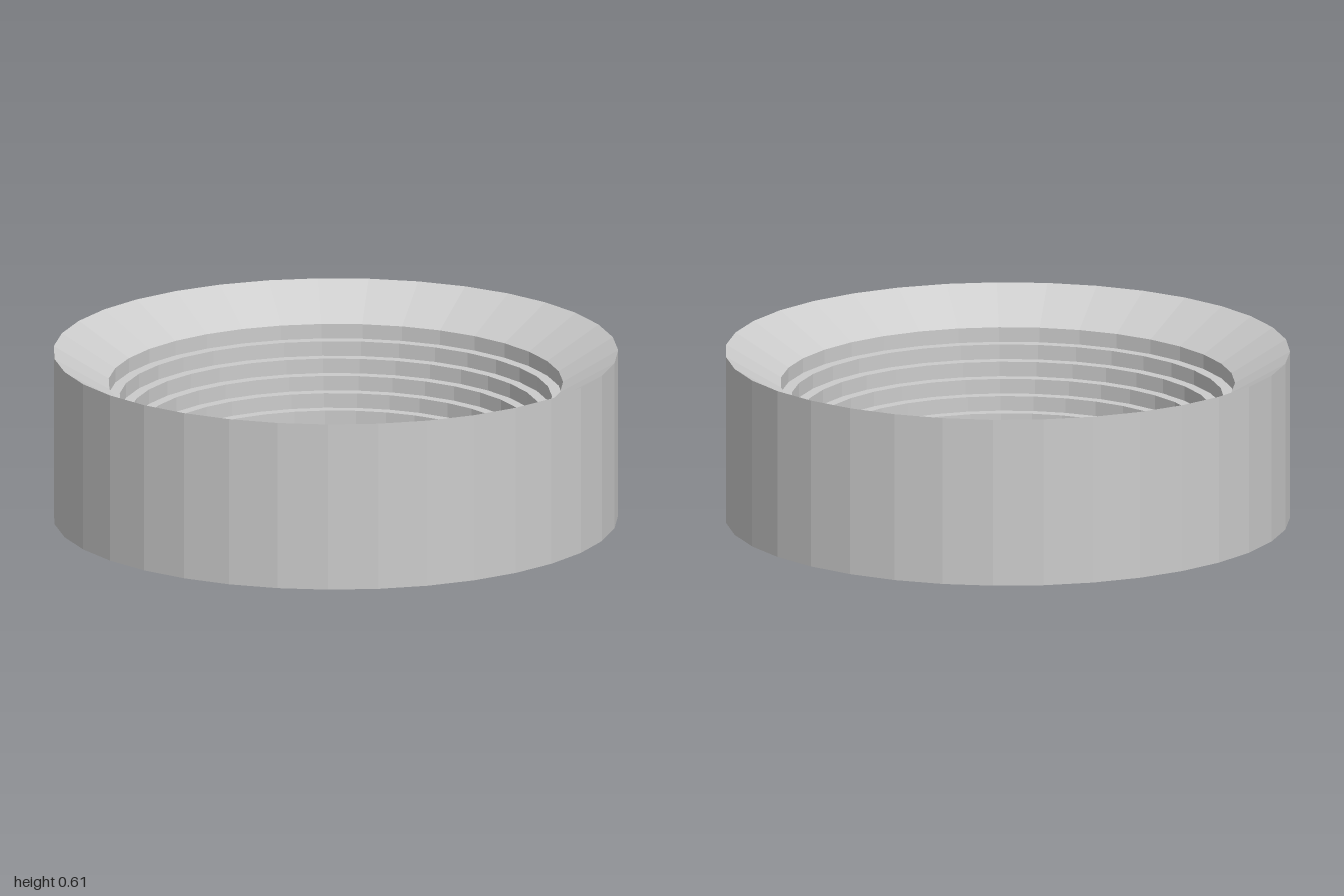
import * as THREE from 'three';

const SIDES = 35;
const material = new THREE.MeshStandardMaterial({
  color: 0xcccccc, flatShading: true, side: THREE.DoubleSide,
});

// Mesh with one flat normal per facet
function part(name, geometry) {
  const flat = geometry.index ? geometry.toNonIndexed() : geometry;
  flat.computeVertexNormals();
  const mesh = new THREE.Mesh(flat, material);
  mesh.name = name;
  return mesh;
}

// Faceted surface of revolution from [radius, height] pairs, with a corner on +x
function ring(name, profile) {
  const points = profile.map(([r, y]) => new THREE.Vector2(r, y));
  return part(name, new THREE.LatheGeometry(points, SIDES, Math.PI / 2));
}

export function createModel() {
  const group = new THREE.Group();
  group.name = 'arena';

  const height = 0.605;
  const rimInner = 0.805, rimInnerY = 0.49;
  const pitRadius = 0.61, pitTop = 0.225;

  // Outer shell, open underneath
  group.add(ring('outerWall', [[1, 0], [1, height]]));
  group.add(ring('slopedRim', [[1, height], [rimInner, rimInnerY]]));

  // Five steps down to the pit
  const steps = 5;
  const tread = (rimInner - pitRadius) / steps;
  const rise = (rimInnerY - pitTop) / steps;
  const profile = [[rimInner, rimInnerY]];
  for (let i = 0; i < steps; i++) {
    const y = rimInnerY - (i + 1) * rise;
    profile.push([rimInner - i * tread, y], [rimInner - (i + 1) * tread, y]);
  }
  group.add(ring('steps', profile));

  // Pit wall and floor
  group.add(ring('pitWall', [[pitRadius, pitTop], [pitRadius, 0]]));
  const floor = new THREE.CircleGeometry(pitRadius, SIDES).rotateX(-Math.PI / 2);
  group.add(part('floor', floor));

  // Low thin ring standing on the floor
  group.add(ring('innerRing', [[0.365, 0], [0.365, 0.11]]));

  // Blocks joining the inner ring to the pit wall, front and back
  for (const side of [1, -1]) {
    const block = part(side > 0 ? 'frontBlock' : 'backBlock', new THREE.BoxGeometry(0.13, 0.173, 0.26));
    block.position.set(-0.004, 0.0885, side * 0.473);
    group.add(block);
  }

  return group;
}
